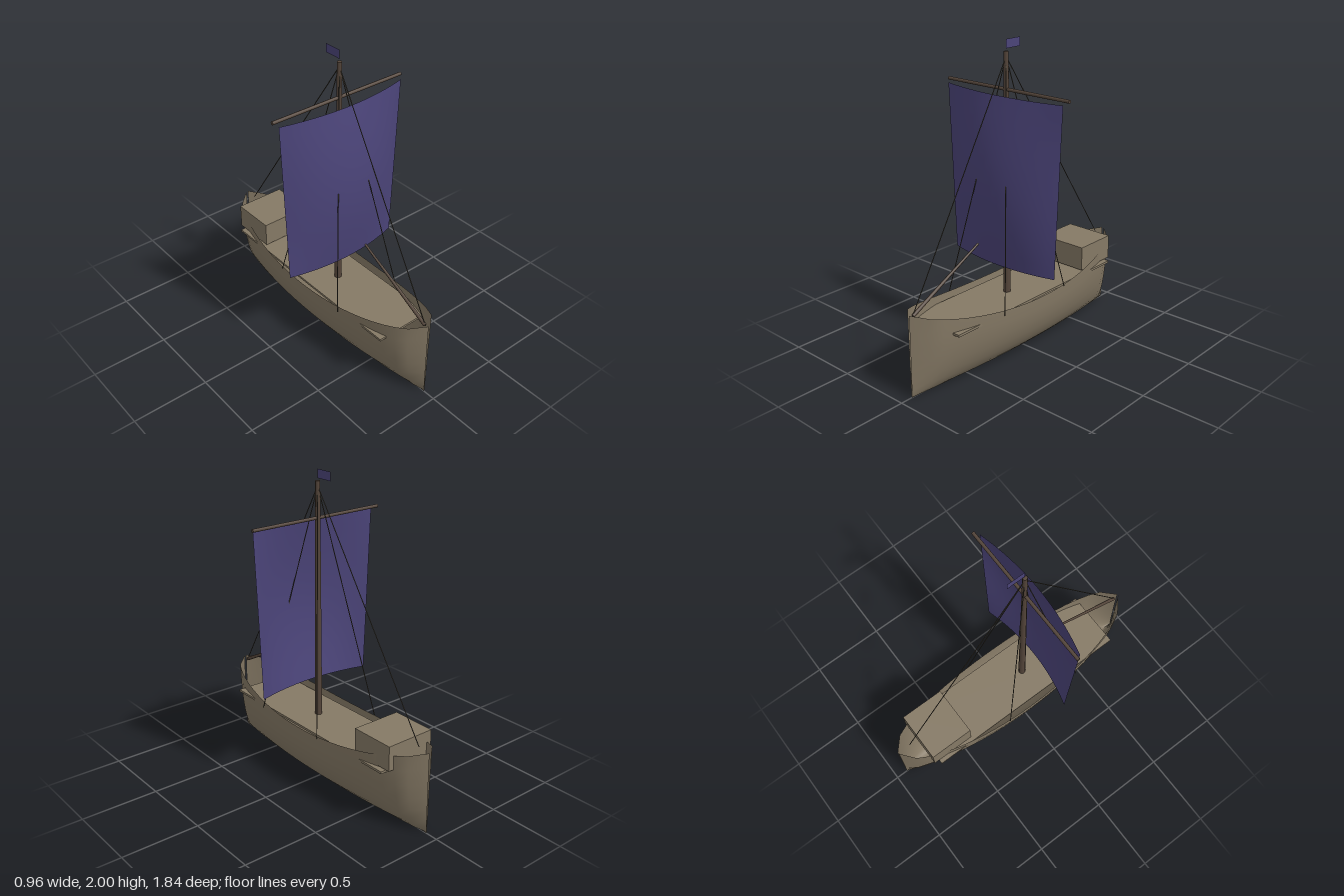
import * as THREE from 'three';

const material = (name, color, side = THREE.FrontSide) => {
  const m = new THREE.MeshStandardMaterial({ color, side });
  m.name = name;
  return m;
};

// Smooth sheet from a function of (u, v), both in 0..1
function sheet(nu, nv, point) {
  const g = new THREE.PlaneGeometry(1, 1, nu, nv);
  const p = g.attributes.position, uv = g.attributes.uv;
  for (let i = 0; i < p.count; i++) p.setXYZ(i, ...point(uv.getX(i), uv.getY(i)));
  g.computeVertexNormals();
  return g;
}

export function createModel() {
  const group = new THREE.Group();
  group.name = 'sailingShip';
  const timber = material('weathered timber', 0x857965);
  const planking = material('hull planking', 0x857965, THREE.DoubleSide);
  planking.color = timber.color;
  const spar = material('dark spar wood', 0x54453a);
  const rope = material('rope', 0x4c463a);
  const cloth = material('indigo cloth', 0x4b4479, THREE.DoubleSide);

  const add = (name, geometry, mat, x = 0, y = 0, z = 0) => {
    const mesh = new THREE.Mesh(geometry, mat);
    mesh.name = name;
    mesh.position.set(x, y, z);
    group.add(mesh);
    return mesh;
  };

  // Tapered round bar between two points
  const bar = (name, from, to, r0, r1, sides, mat) => {
    const a = new THREE.Vector3(...from), b = new THREE.Vector3(...to);
    const dir = b.clone().sub(a);
    const mesh = add(name, new THREE.CylinderGeometry(r1, r0, dir.length(), sides), mat);
    mesh.position.copy(a).add(b).multiplyScalar(0.5);
    mesh.quaternion.setFromUnitVectors(new THREE.Vector3(0, 1, 0), dir.normalize());
  };

  // Hull: half-ellipse sections, elliptical plan, rising sheer at both ends
  const halfLength = 0.92;
  add('hull', sheet(16, 24, (u, v) => {
    const t = 1 - 2 * v;
    const width = Math.max(0.006, 0.24 * Math.sqrt(Math.max(0, 1 - t * t)));
    const sheer = 0.41 + 0.125 * t * t;
    const a = Math.PI * u;
    return [-width * Math.cos(a), sheer * (1 - Math.sin(a)) + 0.004, halfLength * t];
  }), planking);

  // Deck and stern cabin
  add('deck', new THREE.BoxGeometry(0.39, 0.015, 1.44), timber, 0, 0.393, -0.005);
  add('sternCabin', new THREE.BoxGeometry(0.336, 0.16, 0.297), timber, 0, 0.488, -0.612);

  // Mast, yard and bowsprit
  bar('mast', [0, 0.4, 0.09], [0, 1.93, 0.09], 0.024, 0.015, 10, spar);
  bar('yard', [-0.478, 1.705, 0.09], [0.478, 1.705, 0.09], 0.011, 0.011, 8, spar);
  bar('bowsprit', [0, 0.523, 0.885], [0, 0.803, 0.345], 0.012, 0.007, 8, spar);

  // Square sail, bellied forward and wider at the head
  add('sail', sheet(16, 14, (u, v) => {
    const s = 2 * u - 1;
    const belly = (1 - s * s) * (0.06 + 0.06 * Math.sin(Math.PI * v));
    return [s * (0.41 + 0.045 * v), 0.61 + 1.075 * v, 0.12 + belly];
  }), cloth);

  // Masthead flag
  const flag = add('flag', new THREE.PlaneGeometry(0.12, 0.055), cloth, 0, 1.9725, 0.03);
  flag.rotation.y = Math.PI / 2;

  // Rigging
  const head = [0, 1.9, 0.09];
  const stay = (name, end) => bar(name, end, head, 0.003, 0.003, 5, rope);
  stay('forestay', [0, 0.52, 0.89]);
  stay('backstay', [0, 0.54, -0.83]);
  for (const x of [-0.24, 0.24]) {
    const side = x > 0 ? 'left' : 'right';
    stay(side + 'ForeShroud', [x, 0.41, 0.37]);
    stay(side + 'AftShroud', [x, 0.41, -0.19]);
  }
  return group;
}
